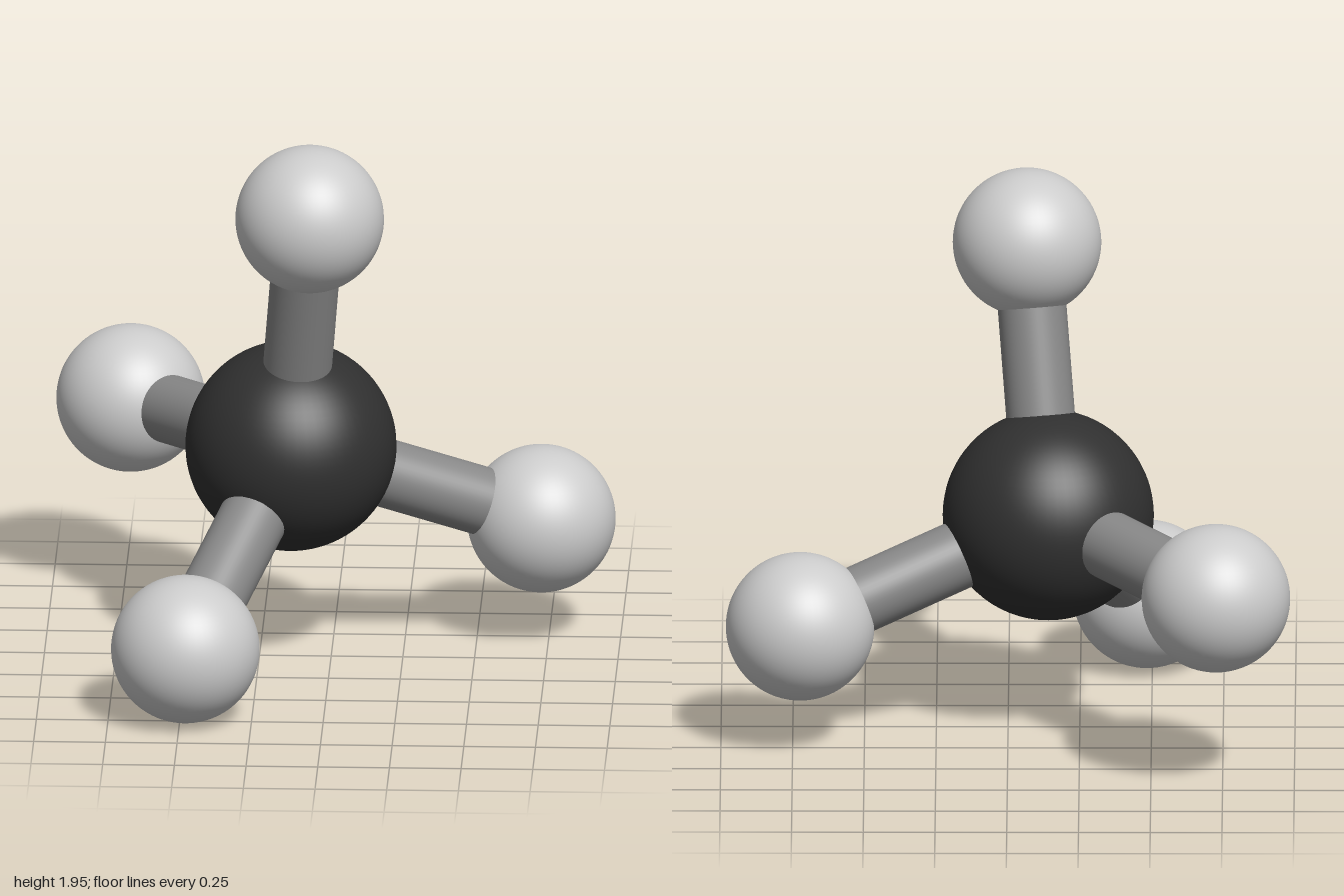
import * as THREE from 'three';

const CORE = new THREE.Vector3(-0.14, 0.775, 0.005);
const CORE_RADIUS = 0.368;
const OUTER_RADIUS = 0.259;
const BOND_RADIUS = 0.12;

// Outer atom centres, arranged as a tetrahedron around the core
const OUTER = {
  top: new THREE.Vector3(-0.065, 1.69, 0.265),
  left: new THREE.Vector3(0.724, 0.441, -0.235),
  back: new THREE.Vector3(-0.727, 0.701, -0.741),
  front: new THREE.Vector3(-0.481, 0.262, 0.735),
};

export function createModel() {
  const group = new THREE.Group();
  group.name = 'tetrahedralMolecule';
  const coreMaterial = new THREE.MeshStandardMaterial({ color: 0x303030 });
  const outerMaterial = new THREE.MeshStandardMaterial({ color: 0xcccccc });
  const bondMaterial = new THREE.MeshStandardMaterial({ color: 0x888888 });

  const addAtom = (name, radius, material, position) => {
    const atom = new THREE.Mesh(new THREE.SphereGeometry(radius, 64, 40), material);
    atom.name = name;
    atom.position.copy(position);
    group.add(atom);
  };

  // Rod running between two atom centres
  const addBond = (name, from, to) => {
    const axis = to.clone().sub(from);
    const geometry = new THREE.CylinderGeometry(BOND_RADIUS, BOND_RADIUS, axis.length(), 48, 1, true);
    const bond = new THREE.Mesh(geometry, bondMaterial);
    bond.name = name;
    bond.position.copy(from).add(to).multiplyScalar(0.5);
    bond.quaternion.setFromUnitVectors(new THREE.Vector3(0, 1, 0), axis.normalize());
    group.add(bond);
  };

  addAtom('coreAtom', CORE_RADIUS, coreMaterial, CORE);
  for (const [name, position] of Object.entries(OUTER)) {
    addAtom(`${name}Atom`, OUTER_RADIUS, outerMaterial, position);
    addBond(`${name}Bond`, CORE, position);
  }
  return group;
}
